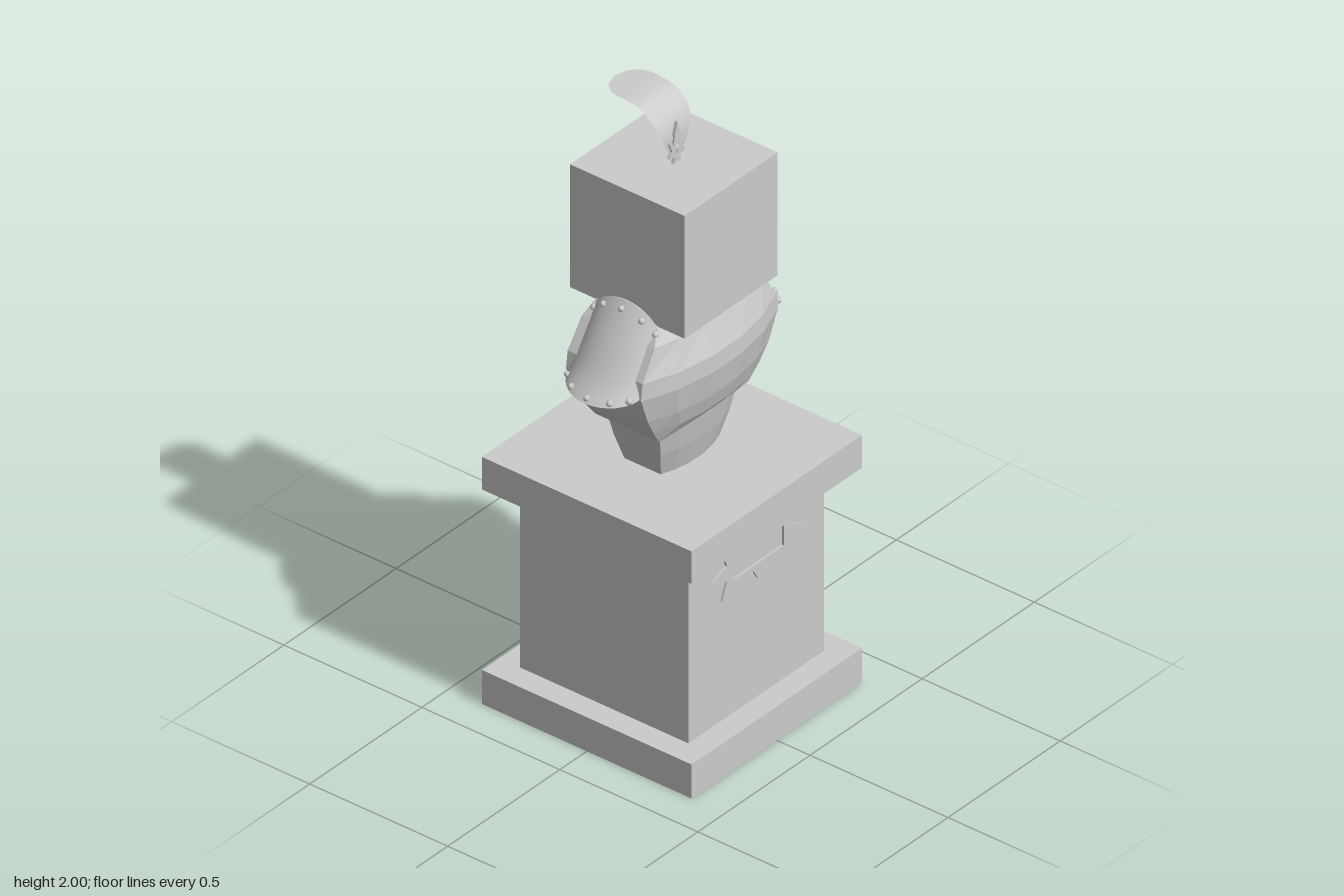
import * as THREE from 'three';
import { toCreasedNormals } from 'three/addons/utils/BufferGeometryUtils.js';

const grey = new THREE.MeshStandardMaterial({ color: 0xcccccc });
const flat = new THREE.MeshStandardMaterial({ color: 0xcccccc, flatShading: true });
const thin = new THREE.MeshStandardMaterial({ color: 0xcccccc, side: THREE.DoubleSide });

function add(parent, name, geometry, material = grey) {
  const mesh = new THREE.Mesh(geometry, material);
  mesh.name = name;
  parent.add(mesh);
  return mesh;
}

function addBox(parent, name, w, h, d, x, y, z) {
  add(parent, name, new THREE.BoxGeometry(w, h, d)).position.set(x, y + h / 2, z);
}

// Skins closed rings stacked upwards; each end is capped by pairing point i with n-1-i.
function loft(rings) {
  const n = rings[0].length, index = [];
  for (let r = 0; r < rings.length - 1; r++) {
    for (let i = 0; i < n; i++) {
      const j = (i + 1) % n, a = r * n, b = a + n;
      index.push(a + i, b + i, a + j, a + j, b + i, b + j);
    }
  }
  const top = (rings.length - 1) * n;
  for (let i = 0; i < n / 2 - 1; i++) {
    const p = i, q = n - 1 - i, s = n - 2 - i, t = i + 1;
    index.push(top + p, top + q, top + s, top + p, top + s, top + t);
    index.push(p, s, q, p, t, s);
  }
  const g = new THREE.BufferGeometry();
  g.setAttribute('position', new THREE.Float32BufferAttribute(rings.flat(2), 3));
  g.setIndex(index);
  g.computeVertexNormals();
  return g;
}

// Body ring: flat sides of half depth d1, front and back bulging to d2, optional raised middle.
function bodyRing([y, w, d1, d2, lift = 0]) {
  const front = [[1, 0], [0.64, 0.65], [0.22, 1], [-0.22, 1], [-0.64, 0.65], [-1, 0]]
    .map(([t, b]) => [w * t, y + lift * b, d1 + (d2 - d1) * b]);
  return [...front, ...front.map(([x, py, z]) => [x, py, -z]).reverse()];
}

// Point on the arched shoulder plate: u across (-1..1), v from lower edge to top.
const ridge = new THREE.CatmullRomCurve3([
  [0.395, 1.185, 0], [0.35, 1.235, 0], [0.285, 1.335, 0], [0.215, 1.442, 0],
].map((p) => new THREE.Vector3(...p)));
const border = new THREE.CatmullRomCurve3([
  [0.31, 1.2, 0], [0.278, 1.24, 0], [0.24, 1.295, 0], [0.197, 1.355, 0],
].map((p) => new THREE.Vector3(...p)));
function platePoint(u, v, inset = 0) {
  const angle = u * 1.35, c = Math.cos(1.35);
  const bulge = (Math.cos(angle) - c) / (1 - c);
  const p = border.getPoint(v).lerp(ridge.getPoint(v), bulge);
  p.z = (0.126 - inset) * Math.sin(angle) / Math.sin(1.35) + 0.003;
  p.x -= inset * 0.9;
  p.y -= inset * 0.4;
  return p;
}

function shoulder(name) {
  const group = new THREE.Group();
  group.name = name;
  const rings = [], steps = 14;
  for (let r = 0; r <= 8; r++) {
    const outer = [], inner = [];
    for (let i = 0; i <= steps; i++) {
      const u = -1 + 2 * i / steps;
      outer.push(platePoint(u, r / 8).toArray());
      inner.unshift(platePoint(u, r / 8, 0.01).toArray());
    }
    rings.push([...outer, ...inner]);
  }
  add(group, 'shoulderPlate', toCreasedNormals(loft(rings), 0.6), thin);
  // Rivets along the upper and lower edges
  for (const v of [0.08, 0.93]) {
    for (const u of [-0.77, -0.42, 0, 0.42, 0.77]) {
      const rivet = add(group, 'rivet', new THREE.SphereGeometry(0.01, 10, 8));
      rivet.position.copy(platePoint(u, v));
    }
  }
  return group;
}

// Closed shape from its right half, mirrored in x
function mirroredShape(half) {
  const left = half.filter(([x]) => x > 0).map(([x, y]) => [-x, y]).reverse();
  return new THREE.Shape([...half, ...left].map((p) => new THREE.Vector2(...p)));
}

function plaqueGeometry() {
  const star = mirroredShape([
    [0, -0.085], [0.02, -0.052], [0.1, -0.047], [0.16, -0.083], [0.138, -0.025], [0.198, 0],
    [0.138, 0.025], [0.16, 0.083], [0.1, 0.047], [0.02, 0.052], [0, 0.085],
  ]);
  star.holes.push(new THREE.Path([[-0.115, -0.034], [-0.115, 0.034], [0.115, 0.034], [0.115, -0.034]]
    .map((p) => new THREE.Vector2(...p))));
  return new THREE.ExtrudeGeometry(star, { depth: 0.012, bevelEnabled: false });
}

// Curled sheet that widens upwards, bends back and ends in a round tip
function plumeGeometry() {
  const path = new THREE.CatmullRomCurve3([
    [0, 1.835, 0.015], [0, 1.9, 0.012], [0, 1.955, -0.01], [0, 1.99, -0.055],
    [0, 2, -0.115], [0, 2, -0.16], [0, 2, -0.207],
  ].map((p) => new THREE.Vector3(...p)));
  const g = new THREE.PlaneGeometry(2, 1, 8, 32), pos = g.attributes.position;
  for (let i = 0; i < pos.count; i++) {
    const t = pos.getY(i) + 0.5, p = path.getPointAt(t);
    const tip = Math.max(0, (t - 0.78) / 0.22);
    const w = (0.03 + 0.048 * Math.sin(Math.min(1, t / 0.42) * Math.PI / 2)) * Math.sqrt(Math.max(0, 1 - tip * tip));
    pos.setXYZ(i, 0.002 + pos.getX(i) * w, Math.min(p.y, 2), p.z);
  }
  g.computeVertexNormals();
  return g;
}

export function createModel() {
  const model = new THREE.Group();
  model.name = 'pedestalBust';

  // Pedestal
  addBox(model, 'pedestalBase', 0.76, 0.115, 0.76, 0, 0, 0);
  addBox(model, 'pedestalColumn', 0.605, 0.61, 0.61, 0, 0.115, 0);
  addBox(model, 'pedestalTop', 0.76, 0.11, 0.76, 0, 0.725, 0);

  // Spiked plaques on front and back
  const plaque = plaqueGeometry();
  for (const turn of [0, Math.PI]) {
    const holder = new THREE.Group();
    holder.name = turn ? 'backPlaque' : 'frontPlaque';
    holder.rotation.y = turn;
    add(holder, 'plaqueFrame', plaque).position.set(0, 0.605, 0.3);
    model.add(holder);
  }

  // Torso
  add(model, 'waist', loft([
    [0.83, 0.13, 0.065, 0.09], [0.92, 0.155, 0.085, 0.112], [1.03, 0.18, 0.1, 0.132],
  ].map(bodyRing)), flat);
  add(model, 'chest', loft([
    [1.0, 0.2, 0.115, 0.14, 0.02], [1.05, 0.235, 0.125, 0.165], [1.11, 0.27, 0.132, 0.184],
    [1.2, 0.305, 0.136, 0.2], [1.255, 0.298, 0.136, 0.198], [1.345, 0.24, 0.132, 0.165],
    [1.395, 0.2, 0.11, 0.125],
  ].map(bodyRing)), flat);

  // Shoulder armour
  model.add(shoulder('leftShoulder'));
  const right = shoulder('rightShoulder');
  right.scale.x = -1;
  model.add(right);

  // Block head
  addBox(model, 'head', 0.415, 0.415, 0.415, 0.006, 1.39, 0.002);

  // Crest
  const crest = new THREE.Group();
  crest.name = 'crest';
  add(crest, 'plume', plumeGeometry(), thin);
  const leaf = mirroredShape([
    [0, 0], [0.018, 0], [0.01, 0.02], [0.036, 0.026], [0.024, 0.045], [0.036, 0.075],
    [0.016, 0.065], [0.012, 0.095], [0, 0.135],
  ]);
  add(crest, 'spikedClasp', new THREE.ExtrudeGeometry(leaf, { depth: 0.01, bevelEnabled: false }))
    .position.set(0, 1.804, 0.01);
  const stud = add(crest, 'claspStud', new THREE.SphereGeometry(0.012, 12, 8));
  stud.position.set(0, 1.85, 0.016);
  stud.scale.set(1, 1.4, 0.6);
  model.add(crest);
  return model;
}
